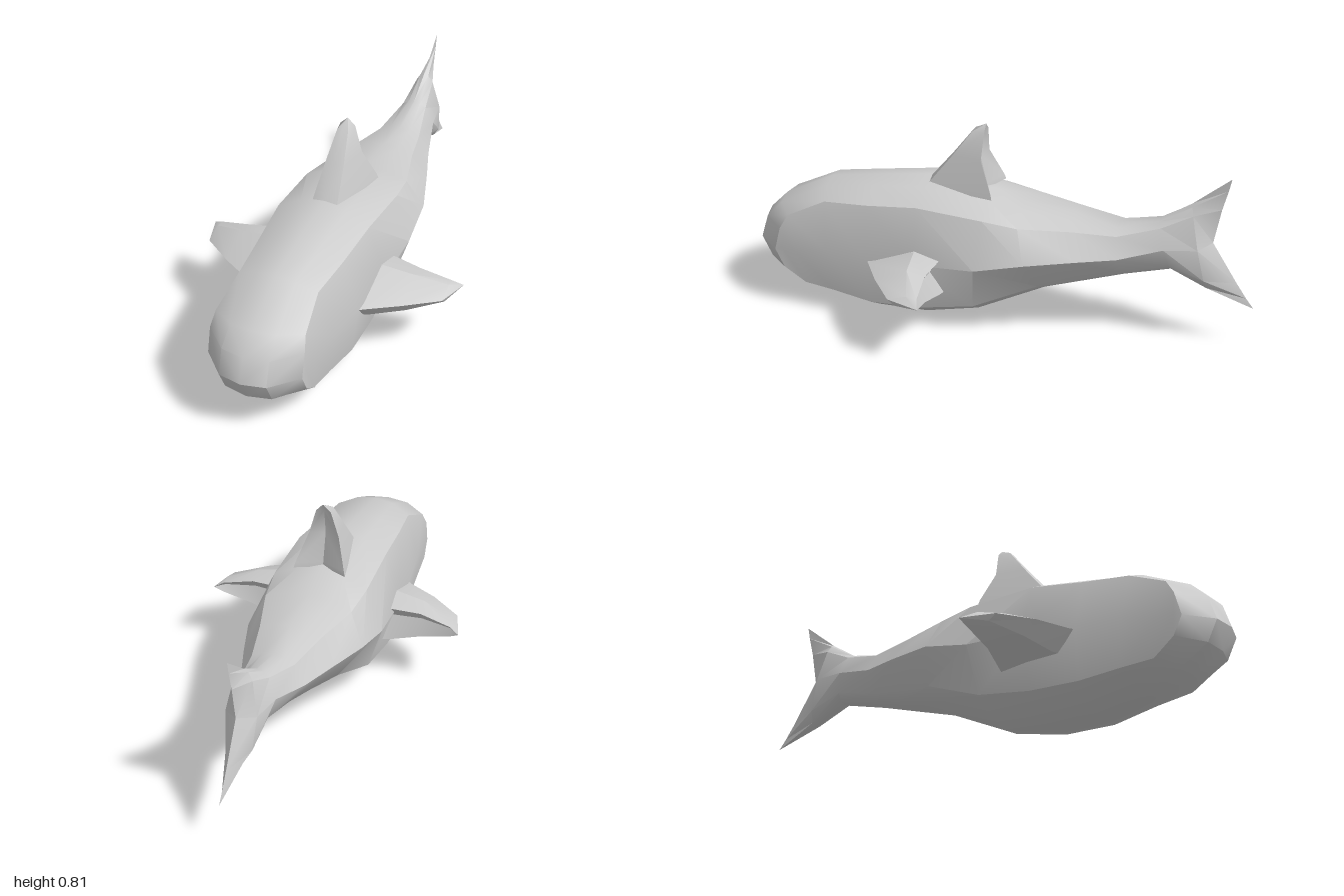
import * as THREE from 'three';
import { toCreasedNormals } from 'three/addons/utils/BufferGeometryUtils.js';

const material = new THREE.MeshStandardMaterial({ color: 0xcccccc, side: THREE.DoubleSide });
const { lerp } = THREE.MathUtils;

// Skin a list of closed rings of [x, y, z] points; zero-area triangles are dropped.
function loft(rings, creaseAngle) {
  const triangles = [];
  let volume = 0;
  const add = (...corners) => {
    const [p, q, r] = corners.map((c) => new THREE.Vector3(...c));
    const area = q.clone().sub(p).cross(r.clone().sub(p)).length();
    if (area < 1e-7) return;
    volume += p.dot(q.clone().cross(r));
    triangles.push([p, q, r]);
  };
  for (let i = 0; i < rings.length - 1; i++) {
    const a = rings[i], b = rings[i + 1], n = a.length;
    for (let j = 0; j < n; j++) {
      const k = (j + 1) % n;
      // Diagonals run symmetrically on the two halves
      if (j < n / 2) {
        add(a[j], b[j], b[k]);
        add(a[j], b[k], a[k]);
      } else {
        add(a[j], b[j], a[k]);
        add(b[j], b[k], a[k]);
      }
    }
  }
  // Turn all faces outwards
  const points = triangles.flatMap(([p, q, r]) => (volume > 0 ? [p, q, r] : [p, r, q]));
  return toCreasedNormals(new THREE.BufferGeometry().setFromPoints(points), creaseAngle);
}

// Complete a half ring whose first and last points lie on the centre plane
function mirrorRing(half) {
  const other = half.slice(1, -1).reverse().map(([x, y, z]) => [-x, y, z]);
  return [...half, ...other];
}

function addMesh(group, name, geometry) {
  const mesh = new THREE.Mesh(geometry, material);
  mesh.name = name;
  group.add(mesh);
}

// Body from nose to tail: back y, z; belly y, z; half widths at the upper edge,
// flank and lower edge; setback of the sides behind the centre line
const stations = [
  [0.255, 1, 0.255, 1, 0.185, 0.185, 0.185, 0.115],
  [0.35, 0.97, 0.17, 0.96, 0.185, 0.188, 0.185, 0.11],
  [0.42, 0.9, 0.085, 0.83, 0.175, 0.195, 0.175, 0.07],
  [0.52, 0.7, 0.04, 0.66, 0.155, 0.207, 0.185, 0.02],
  [0.55, 0.5, 0, 0.48, 0.17, 0.228, 0.2, 0],
  [0.577, 0.29, 0, 0.28, 0.185, 0.25, 0.2, 0],
  [0.55, 0.02, 0.045, 0.07, 0.19, 0.25, 0.19, 0],
  [0.51, -0.1, 0.175, -0.2, 0.175, 0.235, 0.15, 0],
  [0.49, -0.3, 0.225, -0.38, 0.12, 0.175, 0.1, 0],
  [0.47, -0.47, 0.26, -0.5, 0.085, 0.125, 0.07, 0],
  [0.51, -0.63, 0.305, -0.68, 0.05, 0.08, 0.055, 0],
  [0.585, -0.745, 0.235, -0.82, 0.035, 0.06, 0.05, 0],
];

function bodyRing([backY, backZ, bellyY, bellyZ, upperX, flankX, lowerX, setback]) {
  const sidePoint = (x, t) => [x, lerp(backY, bellyY, t), lerp(backZ, bellyZ, t) - setback];
  // Extra point that rounds the back and the belly
  const between = (y, z, edge) => [edge[0] * 0.5, lerp(y, edge[1], 0.23), lerp(z, edge[2], 0.17)];
  const upperT = 0.11 - setback, lowerT = 0.85 + setback * 0.8;
  const upper = sidePoint(upperX, upperT);
  const flank = sidePoint(flankX, (upperT + lowerT) / 2);
  const lower = sidePoint(lowerX, lowerT);
  return mirrorRing([
    [0, backY, backZ], between(backY, backZ, upper), upper, flank,
    lower, between(bellyY, bellyZ, lower), [0, bellyY, bellyZ],
  ]);
}

// Forked trailing edge of the tail, top to bottom: y, z
const tailEdge = [
  [0.7, -0.885], [0.65, -0.875], [0.57, -0.855], [0.43, -0.83],
  [0.27, -0.93], [0.21, -0.97], [0.17, -1],
];

// Dorsal fin levels: y, front z, rear z, front half width, rear half width
const dorsalLevels = [
  [0.545, 0.3, 0.01, 0.052, 0.105],
  [0.565, 0.288, 0.015, 0.05, 0.1],
  [0.683, 0.19, 0.065, 0.037, 0.06],
  [0.787, 0.11, 0.06, 0.022, 0.03],
  [0.815, 0.06, 0.06, 0, 0],
];

// Front edge and corner, rear corner and hollow rear edge
function dorsalRing([y, front, rear, frontX, rearX]) {
  return mirrorRing([
    [0, y, front], [frontX, y, lerp(front, rear, 0.04)], [rearX, y, rear],
    [0, y, lerp(rear, front, 0.16)],
  ]);
}

// Side fin section, as fractions from front to rear and from bottom to top
const finOutline = [[0, 0.56], [0.65, 1], [1, 0.86], [0.87, 0.57], [1, 0], [0.25, 0.12]];

// Side fin from root to tip: x, front z, rear z, bottom y, top y
const finSections = [
  [0.2, 0.5, 0.17, 0.18, 0.355],
  [0.24, 0.47, 0.18, 0.182, 0.352],
  [0.36, 0.4, 0.2, 0.21, 0.335],
  [0.485, 0.305, 0.19, 0.245, 0.297],
  [0.525, 0.175, 0.175, 0.27, 0.27],
];

export function createModel() {
  const model = new THREE.Group();
  model.name = 'fish';

  const tailRing = mirrorRing(tailEdge.map(([y, z]) => [0, y, z]));
  addMesh(model, 'bodyAndTail', loft([...stations.map(bodyRing), tailRing], 0.62));
  addMesh(model, 'dorsalFin', loft(dorsalLevels.map(dorsalRing), 0.6));

  for (const [name, side] of [['leftFin', 1], ['rightFin', -1]]) {
    const rings = finSections.map(([x, front, rear, bottom, top]) =>
      finOutline.map(([u, v]) => [side * x, lerp(bottom, top, v), lerp(front, rear, u)]));
    addMesh(model, name, loft(rings, 0.6));
  }
  return model;
}
